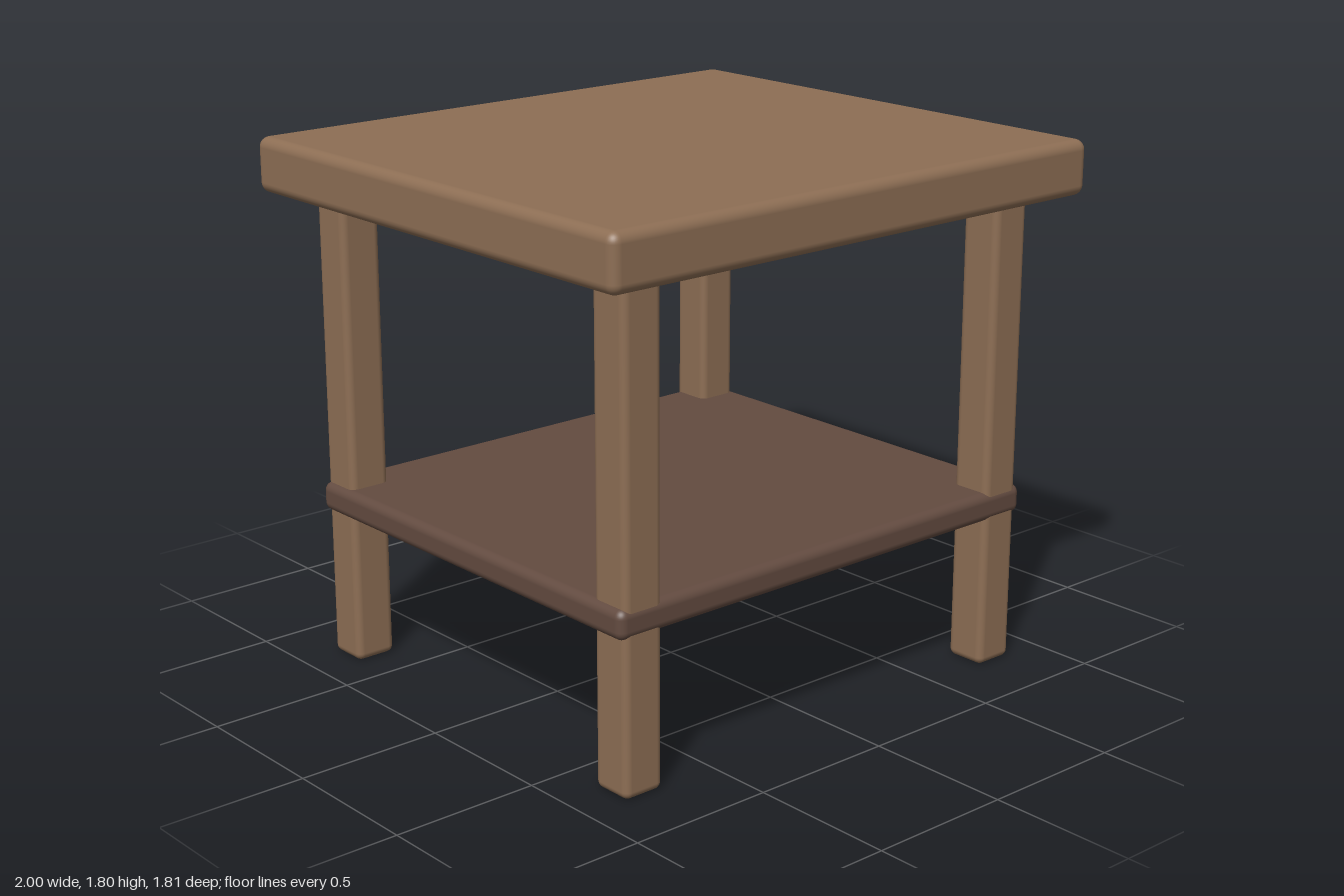
import * as THREE from 'three';
import { RoundedBoxGeometry } from 'three/addons/geometries/RoundedBoxGeometry.js';

export function createModel() {
  const table = new THREE.Group();
  table.name = 'sideTable';

  const wood = new THREE.MeshStandardMaterial({ color: 0x8d6e54 });
  wood.name = 'warm wood';
  const darkWood = new THREE.MeshStandardMaterial({ color: 0x634b40 });
  darkWood.name = 'dark wood';

  // Rounded block given by its size, bottom height and position
  function block(name, [w, h, d], x, bottom, z, radius, material) {
    const mesh = new THREE.Mesh(new RoundedBoxGeometry(w, h, d, 4, radius), material);
    mesh.name = name;
    mesh.position.set(x, bottom + h / 2, z);
    table.add(mesh);
  }

  // Thick top and thin lower shelf
  block('tableTop', [2, 0.185, 1.81], 0, 1.615, 0, 0.035, wood);
  block('shelf', [1.76, 0.1, 1.57], 0, 0.52, 0, 0.03, darkWood);

  // Four legs, running up into the top
  for (const [side, x] of [['Left', 0.785], ['Right', -0.785]]) {
    for (const [end, z] of [['front', 0.707], ['back', -0.707]]) {
      block(`${end}${side}Leg`, [0.148, 1.68, 0.148], x, 0, z, 0.025, wood);
    }
  }

  return table;
}
